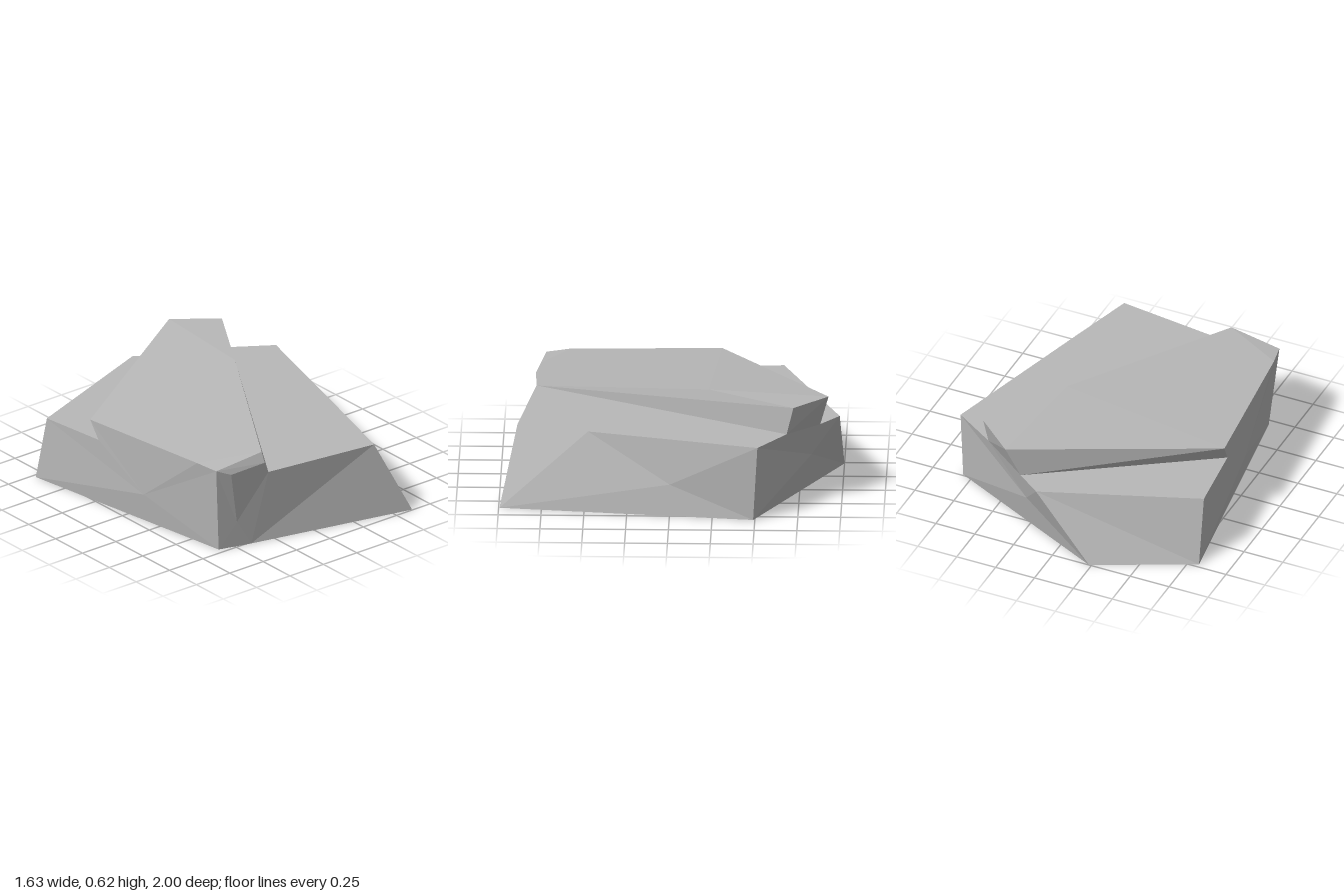
import * as THREE from 'three';

// Corner points of the boulder, by name
const P = {
  // ground outline
  g1: [-0.815, 0, -0.725], g2: [-0.235, 0, -1.0], g3: [0.81, 0, -0.49],
  g4: [0.62, 0, 0.995], g5: [-0.4, 0, 0.765], g6: [-0.6, 0, 0.71],
  // back shelf
  b1: [-0.805, 0.41, -0.635], b2: [0.115, 0.41, -0.98], b3: [0.265, 0.41, -0.87], b4: [-0.76, 0.415, -0.21],
  // front shelf
  f1: [-0.3, 0.445, 0.8], f2: [0.415, 0.445, 0.895], f3: [0.535, 0.445, 0.48],
  f4: [0.815, 0.445, -0.515], f5: [0.56, 0.445, -0.68],
  // raised slab
  s1: [-0.77, 0.525, -0.275], s2: [0.34, 0.605, -0.92], s3: [0.575, 0.612, -0.72], s4: [0.27, 0.62, -0.22],
  s5: [-0.33, 0.575, 0.775], s6: [-0.65, 0.535, 0.75], s7: [-0.68, 0.545, 0.61],
  // chipped lip at the slab's front end
  c1: [-0.56, 0.495, 0.777], c2: [-0.33, 0.515, 0.803],
  // slight bulges and dents within the walls
  right: [0.71, 0.18, 0], back: [0.25, 0.22, -0.82], left: [-0.71, 0.18, 0.15], front: [-0.5, 0.165, 0.755],
};

const core = new THREE.Vector3(0, 0.2, 0);

// Flat facets from corner names; each polygon is fanned from its first corner
function facets(name, material, polygons) {
  const out = [];
  for (const polygon of polygons) {
    const pts = polygon.split(' ').map((key) => new THREE.Vector3(...P[key]));
    for (let i = 1; i < pts.length - 1; i++) {
      const tri = new THREE.Triangle(pts[0], pts[i], pts[i + 1]);
      const outward = tri.getNormal(new THREE.Vector3()).dot(pts[0].clone().sub(core)) > 0;
      const order = outward ? [tri.a, tri.b, tri.c] : [tri.a, tri.c, tri.b];
      order.forEach((p) => out.push(p.x, p.y, p.z));
    }
  }
  const geometry = new THREE.BufferGeometry();
  geometry.setAttribute('position', new THREE.Float32BufferAttribute(out, 3));
  geometry.computeVertexNormals();
  const mesh = new THREE.Mesh(geometry, material);
  mesh.name = name;
  return mesh;
}

// Triangles joining a wall's middle point to every edge of its outline
function wall(middle, outline) {
  const keys = outline.split(' ');
  return keys.map((key, i) => `${middle} ${key} ${keys[(i + 1) % keys.length]}`);
}

export function createModel() {
  const stone = new THREE.MeshStandardMaterial({ color: 0xb8b8b8 });
  stone.name = 'grey stone';

  const rock = new THREE.Group();
  rock.name = 'boulder';
  rock.add(
    facets('slabTop', stone, ['s4 s3 s2 s1 s7 s5', 's7 s6 s5']),
    facets('slabFrontRiser', stone, ['f1 f5 s3 s4 s5 c2']),
    facets('slabBackRiser', stone, ['s1 s2 b3 b4']),
    facets('slabLip', stone, ['s6 c1 c2 s5']),
    facets('frontShelf', stone, ['f1 f2 f3 f4 f5']),
    facets('backShelf', stone, ['b1 b2 b3 b4']),
    facets('rightWall', stone, [...wall('right', 'g4 f3 f4 g3'), 'g4 f2 f3']),
    facets('backRightWall', stone, [...wall('back', 'g3 f4 f5 b3 b2 g2'), 'f5 s3 s2 b3']),
    facets('backWall', stone, ['g1 g2 b2 b1']),
    facets('leftWall', stone, wall('left', 'g1 b1 b4 s1 s7 s6 g6')),
    facets('frontWall', stone, ['g5 g4 f2 f1', ...wall('front', 'g6 s6 c1 c2 f1 g5')]),
    facets('underside', stone, ['g1 g2 g3 g4 g5 g6'])
  );
  return rock;
}
